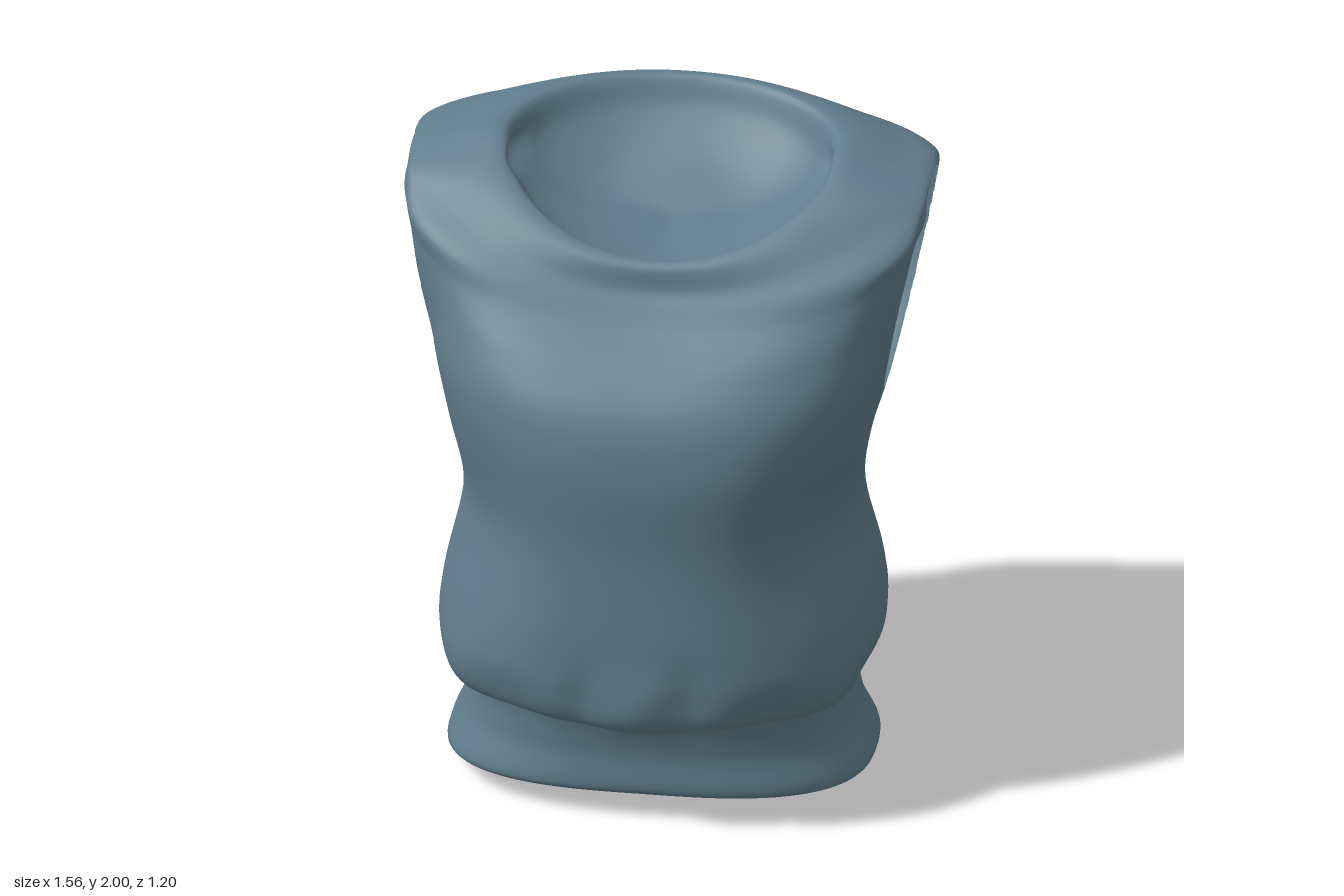
import * as THREE from 'three';
import { mergeVertices } from 'three/addons/utils/BufferGeometryUtils.js';

// Cross-sections from the turned hem, up the body, over the shoulders and down into the neck bowl:
// [half width, side y, front z, front y, back z, back y]
const RINGS = [
  [0.56, 0.06, 0.39, 0.10, -0.39, 0.025],
  [0.60, 0.038, 0.415, 0.083, -0.43, 0.003],
  [0.635, 0.06, 0.432, 0.10, -0.50, 0.05],
  [0.59, 0.19, 0.43, 0.22, -0.465, 0.20],
  [0.575, 0.35, 0.47, 0.345, -0.49, 0.33],
  [0.62, 0.39, 0.55, 0.37, -0.55, 0.39],
  [0.655, 0.48, 0.575, 0.48, -0.585, 0.49],
  [0.645, 0.62, 0.575, 0.62, -0.565, 0.62],
  [0.59, 0.92, 0.557, 0.92, -0.53, 0.90],
  [0.635, 1.20, 0.555, 1.20, -0.56, 1.20],
  [0.68, 1.40, 0.51, 1.36, -0.59, 1.40],
  [0.71, 1.60, 0.42, 1.48, -0.60, 1.60],
  [0.75, 1.78, 0.32, 1.57, -0.59, 1.80],
  [0.785, 1.885, 0.27, 1.63, -0.58, 1.88],
  [0.67, 1.93, 0.24, 1.67, -0.565, 1.94],
  [0.53, 1.965, 0.22, 1.735, -0.55, 1.995],
  [0.49, 1.955, 0.19, 1.75, -0.52, 2.00],
  [0.44, 1.85, 0.155, 1.70, -0.47, 1.92],
  [0.26, 1.74, 0.08, 1.665, -0.37, 1.82],
  [0, 1.705, -0.18, 1.705, -0.18, 1.705],
];
const AROUND = 160, STEPS = 7;

const { smoothstep, lerp, clamp } = THREE.MathUtils;
const bump = (d, width) => Math.exp(-((d / width) ** 2));

// Point of one cross-section at an angle (0 = left side, PI / 2 = front)
function ringPoint([w, ySide, zFront, yFront, zBack, yBack], angle) {
  const c = Math.cos(angle), s = Math.sin(angle);
  // wider sections are squarer, and the side seam moves back towards the shoulder
  const n = clamp(2.1 + 4 * (w - 0.5), 2.1, 3);
  const r = (Math.abs(c) ** n + Math.abs(s) ** n) ** (-1 / n);
  const zSide = -0.02 - 0.16 * smoothstep(ySide, 1.1, 1.7);
  const depth = s > 0 ? zFront - zSide : zSide - zBack;
  const yEnd = s > 0 ? yFront : yBack;
  const y = lerp(ySide, yEnd, Math.abs(s) ** 1.4);
  return new THREE.Vector3(w * r * c, y, zSide + depth * r * s);
}

// Signed distance-like value, negative within the armhole outline seen from the side
function armholeOutline({ y, z }) {
  const dz = (z + 0.205) / 0.277;
  const dy = (y - 1.545) / 0.355;
  // the lower half narrows slightly
  return Math.hypot(dz * (dy < 0 ? 1 - 0.12 * dy : 1), dy) - 1;
}

const armhole = (p) => (Math.abs(p.x) < 0.5 ? 1 : armholeOutline(p));

// Soft folds: centre pleat, gathers above the waistband, hollows beside the chest
function addFolds(p, angle) {
  const { x, y, z } = p;
  const front = Math.max(0, Math.sin(angle));
  if (z > 0.3) {
    p.z += 0.03 * bump(x, 0.09) * bump(y - 0.44, 0.09);
    p.z -= 0.015 * bump(Math.abs(x) - 0.16, 0.06) * bump(y - 0.45, 0.12);
  }
  const gather = bump(y - 0.42, 0.09);
  p.y += 0.012 * gather * Math.cos(6 * angle);
  const hollow = 0.06 * front * bump(Math.abs(x) - 0.5, 0.13) * bump(y - 0.95, 0.28);
  const pinch = 1 - hollow + 0.012 * gather * Math.cos(10 * angle);
  p.x *= pinch;
  p.z *= pinch;
}

// The cloth stands out sideways around the armhole
function flareArmhole(p) {
  const side = Math.abs(p.x);
  const near = bump(Math.max(0, armholeOutline(p)), 0.17);
  const range = smoothstep(side, 0.43, 0.55) * (1 - smoothstep(p.y, 1.86, 1.94));
  const target = 0.64 + 0.2 * (p.y - 1.19);
  p.x = Math.sign(p.x) * lerp(side, Math.max(side, target), near * range);
}

// Part of a triangle that lies outside the armholes
function clip(tri) {
  const out = [];
  tri.forEach((a, i) => {
    const b = tri[(i + 1) % 3];
    const fa = armhole(a), fb = armhole(b);
    if (fa >= 0) out.push(a);
    if ((fa >= 0) !== (fb >= 0)) out.push(a.clone().lerp(b, fa / (fa - fb)));
  });
  return out;
}

function garmentGeometry() {
  const rows = (RINGS.length - 1) * STEPS;
  const columns = [];
  for (let i = 0; i < AROUND; i++) {
    const angle = (i / AROUND) * Math.PI * 2;
    const curve = new THREE.CatmullRomCurve3(RINGS.map((ring) => ringPoint(ring, angle)));
    const column = curve.getPoints(rows);
    for (const p of column) {
      addFolds(p, angle);
      flareArmhole(p);
    }
    columns.push(column);
  }

  const positions = [];
  const addTriangle = (...tri) => {
    const poly = clip(tri);
    for (let k = 1; k < poly.length - 1; k++) {
      for (const p of [poly[0], poly[k], poly[k + 1]]) positions.push(p.x, p.y, p.z);
    }
  };
  for (let i = 0; i < AROUND; i++) {
    const a = columns[i], b = columns[(i + 1) % AROUND];
    for (let j = 0; j < rows; j++) {
      addTriangle(a[j], a[j + 1], b[j]);
      addTriangle(b[j], a[j + 1], b[j + 1]);
    }
  }
  let geometry = new THREE.BufferGeometry();
  geometry.setAttribute('position', new THREE.Float32BufferAttribute(positions, 3));
  geometry = mergeVertices(geometry, 1e-5);
  geometry.computeVertexNormals();
  return geometry;
}

export function createModel() {
  const group = new THREE.Group();
  group.name = 'sleevelessTop';
  const fabric = new THREE.MeshStandardMaterial({ color: 0x607d8b, side: THREE.DoubleSide });
  const garment = new THREE.Mesh(garmentGeometry(), fabric);
  garment.name = 'garmentBody';
  group.add(garment);
  return group;
}
